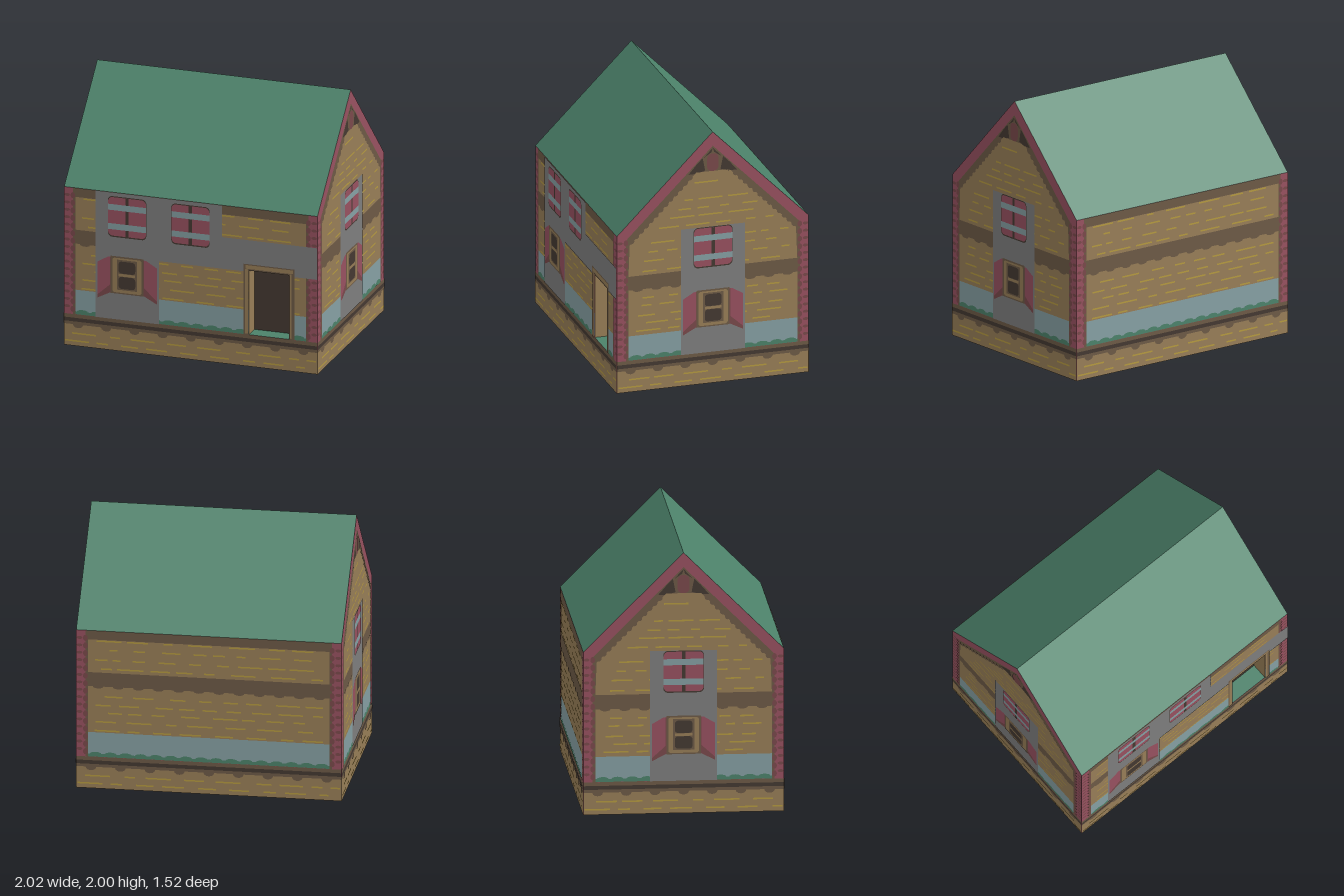
import * as THREE from 'three';

const mat = (name, color) => {
  const m = new THREE.MeshStandardMaterial({ color, side: THREE.DoubleSide });
  m.name = name;
  return m;
};

// Door opening in the front wall
const DOOR = { x0: 0.46, x1: 0.78, y0: 0.25, y1: 0.76, depth: 0.125 };
const STEP = 0.0015; // spacing between paint layers

const poly = (pts) => new THREE.Shape(pts.map(([x, y]) => new THREE.Vector2(x, y)));
const rect = (x0, x1, y0, y1) => poly([[x0, y0], [x1, y0], [x1, y1], [x0, y1]]);

// Rectangle split around the door opening where needed
function cut(x0, x1, y0, y1, door) {
  const d = DOOR;
  if (!door || x1 <= d.x0 || x0 >= d.x1 || y1 <= d.y0 || y0 >= d.y1) return [rect(x0, x1, y0, y1)];
  const out = [], lo = Math.max(y0, d.y0), hi = Math.min(y1, d.y1);
  if (y0 < d.y0) out.push(rect(x0, x1, y0, d.y0));
  if (y1 > d.y1) out.push(rect(x0, x1, d.y1, y1));
  if (x0 < d.x0) out.push(rect(x0, d.x0, lo, hi));
  if (x1 > d.x1) out.push(rect(d.x1, x1, lo, hi));
  return out;
}

// Rounded rectangle
function pill(x0, x1, y0, y1, r) {
  const s = new THREE.Shape();
  s.absarc(x1 - r, y0 + r, r, -Math.PI / 2, 0);
  s.absarc(x1 - r, y1 - r, r, 0, Math.PI / 2);
  s.absarc(x0 + r, y1 - r, r, Math.PI / 2, Math.PI);
  s.absarc(x0 + r, y0 + r, r, Math.PI, Math.PI * 1.5);
  return s;
}

// Row of small ovals forming a scalloped edge
function bumps([ax, ay], [bx, by], n, rx, ry, door) {
  const out = [];
  for (let i = 0; i < n; i++) {
    const t = (i + 0.5) / n, x = ax + (bx - ax) * t, y = ay + (by - ay) * t;
    if (door && y > 0.24 && y < 0.8 && x > DOOR.x0 - rx && x < DOOR.x1 + rx) continue;
    const s = new THREE.Shape();
    s.absellipse(x, y, rx, ry, 0, Math.PI * 2);
    out.push(s);
  }
  return out;
}

// Broken highlight lines on the planks
function dashes(rows, halfAt, door) {
  let seed = 7;
  const rnd = () => (seed = (seed * 16807) % 2147483647) / 2147483647;
  const out = [];
  for (const y of rows) {
    const h = halfAt(y);
    let x = -h + rnd() * 0.12;
    while (x < h - 0.06) {
      const len = Math.min(0.06 + rnd() * 0.14, h - x);
      out.push(...cut(x, x + len, y - 0.006, y + 0.006, door));
      x += len + 0.03 + rnd() * 0.1;
    }
  }
  return out;
}

export function createModel() {
  const tan = mat('tan wood', 0x987e57), brown = mat('brown wood', 0x6d5a46);
  const dark = mat('dark brown', 0x443931), red = mat('red trim', 0x985160);
  const maroon = mat('maroon trim', 0x7a494b), blue = mat('pale blue', 0x86a0a3);
  const green = mat('roof green', 0x4c826a), yellow = mat('yellow highlight', 0xb59a40);
  const gray = mat('gray panel', 0x7e7e7e);
  const model = new THREE.Group();
  model.name = 'house';

  // Adds flat shapes at a paint level; inside = also painted on the inner face
  function paint(g, name, shapes, material, level, inside = false) {
    const geo = new THREE.ShapeGeometry(shapes, 6);
    for (const s of inside && level ? [1, -1] : [1]) {
      const m = new THREE.Mesh(geo, material);
      m.name = name;
      m.position.z = s * level * STEP;
      g.add(m);
    }
  }

  // Foundation, corner trim and lower band shared by every wall
  function common(g, w, door) {
    paint(g, 'foundation', [rect(-w, w, 0, 0.19)], tan, 1, true);
    paint(g, 'foundationLedge', [rect(-w, w, 0.17, 0.25)], brown, 2, true);
    paint(g, 'ledgeScallops', bumps([-w, 0.17], [w, 0.17], Math.round(w * 9), 0.04, 0.028), brown, 2.5, true);
    paint(g, 'ledgeGroove', [rect(-w, w, 0.193, 0.222)], dark, 3, true);
    paint(g, 'foundationLines', dashes([0.04, 0.1], () => w - 0.01), yellow, 3, true);
    for (const s of [-1, 1]) {
      paint(g, 'cornerMottling', bumps([s * (w - 0.07), 0.26], [s * (w - 0.07), 1.22], 16, 0.018, 0.024), maroon, 2, true);
      paint(g, 'cornerShade', bumps([s * (w - 0.025), 0.28], [s * (w - 0.025), 1.22], 16, 0.022, 0.012), maroon, 1, true);
    }
    const x = w - 0.09;
    paint(g, 'blueBand', cut(-x, x, 0.265, 0.445, door), blue, 2, true);
    paint(g, 'grassStrip', cut(-x, x, 0.252, 0.275, door), green, 3, true);
    paint(g, 'grassScallops', bumps([-x, 0.273], [x, 0.273], Math.round(w * 16), 0.045, 0.017, door), green, 3, true);
    paint(g, 'lowerPlanks', cut(-x, x, 0.445, 0.81, door), tan, 2, true);
    paint(g, 'beamScallops', bumps([-x, 0.81], [x, 0.81], Math.round(w * 12), 0.04, 0.016, door), brown, 3, true);
  }

  // Window with open shutters, centred on x
  function shutterWindow(g, x) {
    for (const s of [-1, 1]) {
      const p = (pts) => poly(pts.map(([a, b]) => [x + s * a, b]));
      paint(g, 'openShutter', [p([[0.11, 0.49], [0.235, 0.41], [0.235, 0.69], [0.15, 0.74], [0.11, 0.74]])], red, 5);
      paint(g, 'shutterShade', [p([[0.11, 0.47], [0.235, 0.405], [0.235, 0.43], [0.135, 0.52], [0.135, 0.74], [0.11, 0.74]])], maroon, 5.6);
    }
    paint(g, 'windowSurround', [rect(x - 0.13, x + 0.13, 0.455, 0.75)], brown, 6.2);
    paint(g, 'windowFrame', [pill(x - 0.115, x + 0.115, 0.465, 0.738, 0.02)], tan, 6.8);
    paint(g, 'paneBorder', [rect(x - 0.08, x + 0.08, 0.487, 0.725)], brown, 7.2);
    paint(g, 'paneBar', [rect(x - 0.065, x + 0.065, 0.595, 0.615)], tan, 7.8);
    paint(g, 'windowPanes', [0.497, 0.618].map((y) => pill(x - 0.066, x + 0.066, y, y + 0.095, 0.025)), dark, 7.8);
  }

  // Closed striped shutters, centred on x with the bottom at y
  function closedShutters(g, x, y) {
    paint(g, 'shutterOutline', [pill(x - 0.152, x + 0.152, y, y + 0.322, 0.035)], dark, 5);
    paint(g, 'shutterLeaves', [pill(x - 0.149, x + 0.149, y + 0.01, y + 0.315, 0.035)], red, 5.6);
    paint(g, 'shutterStripes', [0.06, 0.212].map((d) => rect(x - 0.15, x + 0.15, y + d, y + d + 0.047)), blue, 6.2);
    paint(g, 'shutterGap', [[0.01, 0.06], [0.107, 0.212], [0.259, 0.315]].map(([a, b]) => rect(x - 0.013, x + 0.013, y + a, y + b)), dark, 6.2);
  }

  // Long front and back walls
  function longWall(name, door) {
    const g = new THREE.Group();
    g.name = name;
    paint(g, 'wall', cut(-1, 1, 0, 1.25, door), red, 0);
    paint(g, 'beams', cut(-0.93, 0.93, 0.25, 1.25, door), brown, 1, true);
    common(g, 1, door);
    paint(g, 'upperPlanks', [rect(-0.91, 0.91, 0.92, 1.18)], tan, 2, true);
    paint(g, 'plankLines', dashes([0.46, 0.53, 0.6, 0.66, 0.73, 0.95, 1.02, 1.1, 1.17], () => 0.86, door), yellow, 3, true);
    model.add(g);
    return g;
  }

  // Gable end walls
  function gable(name) {
    const g = new THREE.Group();
    g.name = name;
    const mirror = (pts) => poly([...pts, ...pts.slice().reverse().map(([x, y]) => [-x, y])]);
    paint(g, 'wall', [mirror([[0.75, 0], [0.75, 1.25], [0, 2]])], red, 0);
    paint(g, 'beams', [mirror([[0.68, 0.25], [0.68, 1.21], [0, 1.89]])], brown, 1, true);
    common(g, 0.75, false);
    paint(g, 'upperPlanks', [mirror([[0.66, 0.92], [0.65, 1.17], [0.17, 1.65], [0.13, 1.69]])], tan, 2, true);
    for (const s of [-1, 1]) {
      paint(g, 'rakeScallops', bumps([s * 0.655, 1.18], [s * 0.16, 1.675], 13, 0.022, 0.022), brown, 3, true);
      paint(g, 'gableNotch', [poly([[s * 0.06, 1.7], [s * 0.12, 1.68], [s * 0.19, 1.68], [s * 0.13, 1.75], [s * 0.08, 1.8]]),
        poly([[s * 0.01, 1.84], [s * 0.07, 1.8], [0, 1.875]])], dark, 2, true);
    }
    paint(g, 'gableKnob', [pill(-0.045, 0.045, 1.69, 1.83, 0.04)], maroon, 3, true);
    paint(g, 'plankLines', dashes([0.48, 0.54, 0.6, 0.68, 0.74, 0.95, 1.03, 1.1, 1.17, 1.28, 1.35, 1.41, 1.48, 1.61],
      (y) => Math.min(0.6, 1.76 - y)), yellow, 3, true);
    paint(g, 'windowPanel', [rect(-0.25, 0.25, 0.25, 1.25)], gray, 4.4);
    shutterWindow(g, 0);
    closedShutters(g, 0, 0.927);
    model.add(g);
    return g;
  }

  // Front wall with its panels, windows and door
  const front = longWall('frontWall', true);
  front.position.z = 0.75;
  paint(front, 'windowPanel', [rect(-0.75, -0.25, 0.25, 0.75), rect(-0.75, 0.25, 0.75, 1.25),
    ...cut(0.25, 1, 0.75, 1, true)], gray, 4.4);
  shutterWindow(front, -0.5);
  closedShutters(front, -0.5, 0.9);
  closedShutters(front, 0, 0.9);
  paint(front, 'doorFrame', cut(0.42, 0.82, 0.25, 0.81, true), brown, 5);
  paint(front, 'doorFrameFace', [rect(0.43, 0.455, 0.26, 0.77), rect(0.785, 0.797, 0.26, 0.77), rect(0.435, 0.81, 0.773, 0.802)], tan, 5.6);

  // Recessed doorway
  const w = DOOR.x1 - DOOR.x0, h = DOOR.y1 - DOOR.y0, cx = (DOOR.x0 + DOOR.x1) / 2, cy = (DOOR.y0 + DOOR.y1) / 2;
  const side = (name, a, b, material, x, y, z, rx, ry) => {
    const m = new THREE.Mesh(new THREE.PlaneGeometry(a, b), material);
    m.name = name;
    m.position.set(x, y, z);
    m.rotation.set(rx, ry, 0);
    front.add(m);
  };
  const d = DOOR.depth;
  side('door', w, h, dark, cx, cy, -d, 0, 0);
  side('doorJamb', d, h, tan, DOOR.x0, cy, -d / 2, 0, Math.PI / 2);
  side('doorJamb', d, h, tan, DOOR.x1, cy, -d / 2, 0, -Math.PI / 2);
  side('doorLintel', w, d, brown, cx, DOOR.y1, -d / 2, Math.PI / 2, 0);
  side('doorStep', w, d, green, cx, DOOR.y0, -d / 2, -Math.PI / 2, 0);

  // Remaining walls
  const back = longWall('backWall', false);
  back.position.z = -0.75;
  back.rotation.y = Math.PI;
  for (const s of [1, -1]) {
    const g = gable(s > 0 ? 'leftGable' : 'rightGable');
    g.position.x = s;
    g.rotation.y = s * Math.PI / 2;
  }

  // Two roof slopes
  for (const s of [1, -1]) {
    const roof = new THREE.Mesh(new THREE.PlaneGeometry(2, 0.75 * Math.SQRT2).rotateX(-Math.PI / 4), green);
    roof.name = s > 0 ? 'frontRoof' : 'backRoof';
    roof.position.set(0, 1.625, s * 0.375);
    if (s < 0) roof.rotation.y = Math.PI;
    model.add(roof);
  }
  return model;
}
